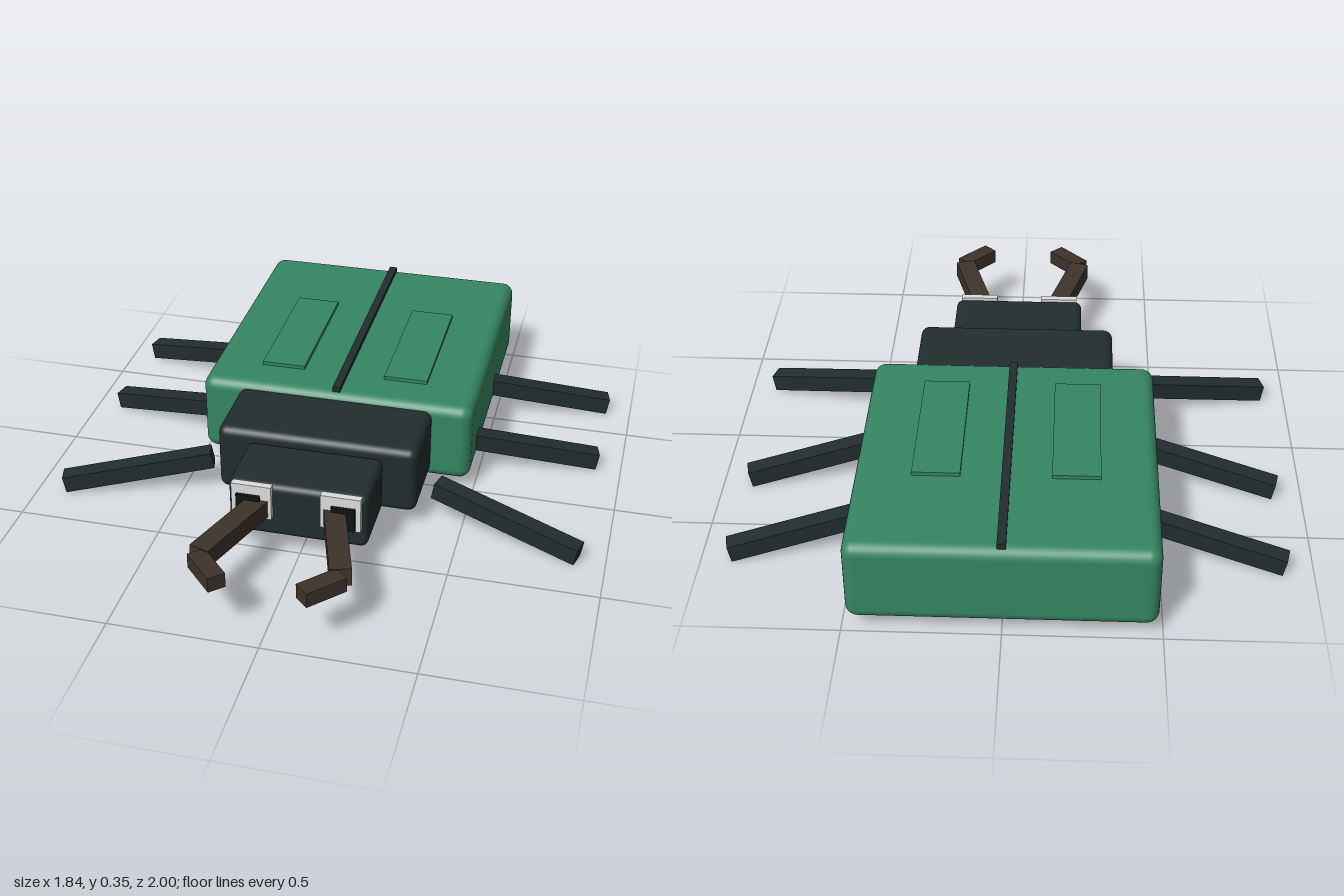
import * as THREE from 'three';
import { RoundedBoxGeometry } from 'three/addons/geometries/RoundedBoxGeometry.js';

const material = (name, color) => {
  const m = new THREE.MeshStandardMaterial({ color });
  m.name = name;
  return m;
};

export function createModel() {
  const model = new THREE.Group();
  model.name = 'beetle';
  const green = material('shell green', 0x358664);
  const dark = material('dark slate', 0x222d2e);
  const brown = material('mandible brown', 0x3d332a);
  const white = material('eye white', 0xdddddd);
  const black = material('pupil black', 0x111414);

  const add = (name, geometry, mat, x, y, z) => {
    const mesh = new THREE.Mesh(geometry, mat);
    mesh.name = name;
    mesh.position.set(x, y, z);
    model.add(mesh);
    return mesh;
  };
  const box = (name, mat, size, pos) =>
    add(name, new THREE.BoxGeometry(...size), mat, ...pos);
  const rounded = (name, mat, size, pos, radius) =>
    add(name, new RoundedBoxGeometry(...size, 4, radius), mat, ...pos);
  // Square bar running between two points, kept upright
  const bar = (name, mat, a, b, w, h) => {
    const from = new THREE.Vector3(...a), to = new THREE.Vector3(...b);
    const mid = from.clone().add(to).multiplyScalar(0.5);
    const mesh = box(name, mat, [w, h, from.distanceTo(to)], mid.toArray());
    mesh.lookAt(to);
  };

  // Body sections
  rounded('abdomen', green, [0.97, 0.29, 1.015], [0, 0.196, -0.4925], 0.04);
  rounded('thorax', dark, [0.694, 0.245, 0.29], [0, 0.198, 0.14], 0.03);
  rounded('head', dark, [0.47, 0.2, 0.25], [0, 0.185, 0.405], 0.025);
  // Seam between the wing cases
  box('wingSeam', dark, [0.028, 0.03, 0.97], [0, 0.341, -0.495]);

  for (const s of [1, -1]) {
    const side = s > 0 ? 'left' : 'right';
    box(`${side}WingPanel`, green, [0.155, 0.03, 0.51], [s * 0.223, 0.339, -0.385]);

    // Eyes
    box(`${side}Eye`, white, [0.135, 0.125, 0.025], [s * 0.15, 0.226, 0.537]);
    box(`${side}Pupil`, black, [0.08, 0.085, 0.012], [s * 0.16, 0.211, 0.554]);

    // Mandibles, each with a tip bent inward
    bar(`${side}Mandible`, brown, [s * 0.125, 0.203, 0.53], [s * 0.227, 0.22, 0.865], 0.07, 0.062);
    bar(`${side}MandibleTip`, brown, [s * 0.233, 0.221, 0.875], [s * 0.133, 0.221, 0.981], 0.06, 0.052);

    // Legs: root z and foot z
    [['front', 0.185, 0.322], ['middle', -0.154, -0.27], ['rear', -0.548, -0.665]].forEach(([n, z0, z1]) =>
      bar(`${side}${n}Leg`, dark, [s * 0.4, 0.131, z0], [s * 0.909, 0.036, z1], 0.061, 0.061));
  }
  return model;
}
